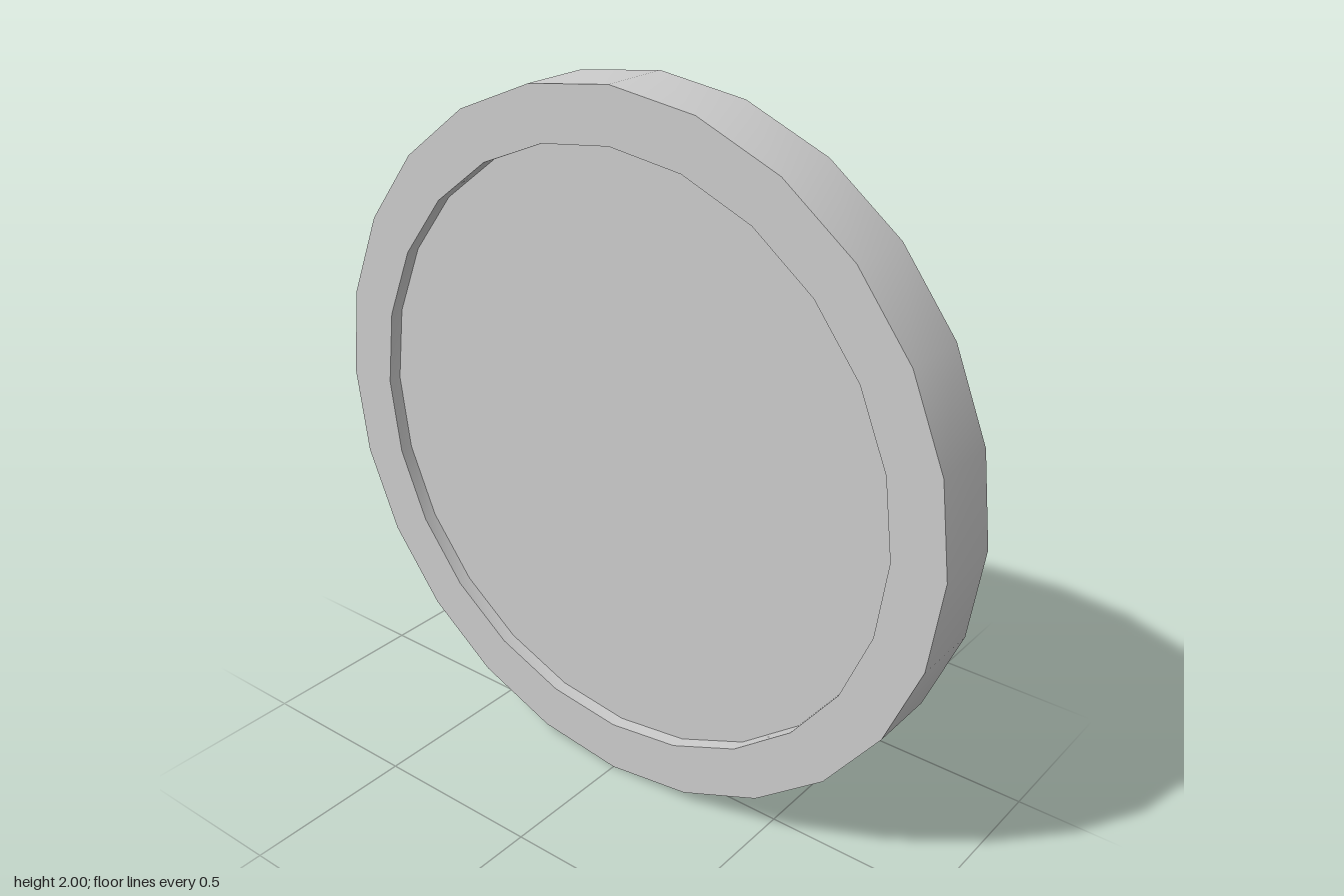
import * as THREE from 'three';
import { toCreasedNormals } from 'three/addons/utils/BufferGeometryUtils.js';

const SIDES = 24;
const OUTER = 1, INNER = 0.85; // rim radii
const HALF = 0.1, FLOOR = 0.06; // half thickness at the rim and at the recessed faces

export function createModel() {
  const group = new THREE.Group();
  group.name = 'disc';
  const material = new THREE.MeshStandardMaterial({ color: 0xcccccc });

  const add = (name, geometry) => {
    const mesh = new THREE.Mesh(geometry, material);
    mesh.name = name;
    mesh.position.y = OUTER;
    group.add(mesh);
  };

  // Raised rim with the inner walls of both recesses, turned to lie along x
  const profile = [
    [INNER, -FLOOR], [INNER, -HALF], [OUTER, -HALF],
    [OUTER, HALF], [INNER, HALF], [INNER, FLOOR],
  ].map(([r, h]) => new THREE.Vector2(r, h));
  const rim = new THREE.LatheGeometry(profile, SIDES).rotateZ(-Math.PI / 2);
  add('rim', toCreasedNormals(rim, Math.PI / 6));

  // Flat recessed face on each side
  for (const [name, s] of [['leftFace', 1], ['rightFace', -1]]) {
    const face = new THREE.CircleGeometry(INNER, SIDES);
    add(name, face.rotateY(s * Math.PI / 2).translate(s * FLOOR, 0, 0));
  }

  return group;
}
